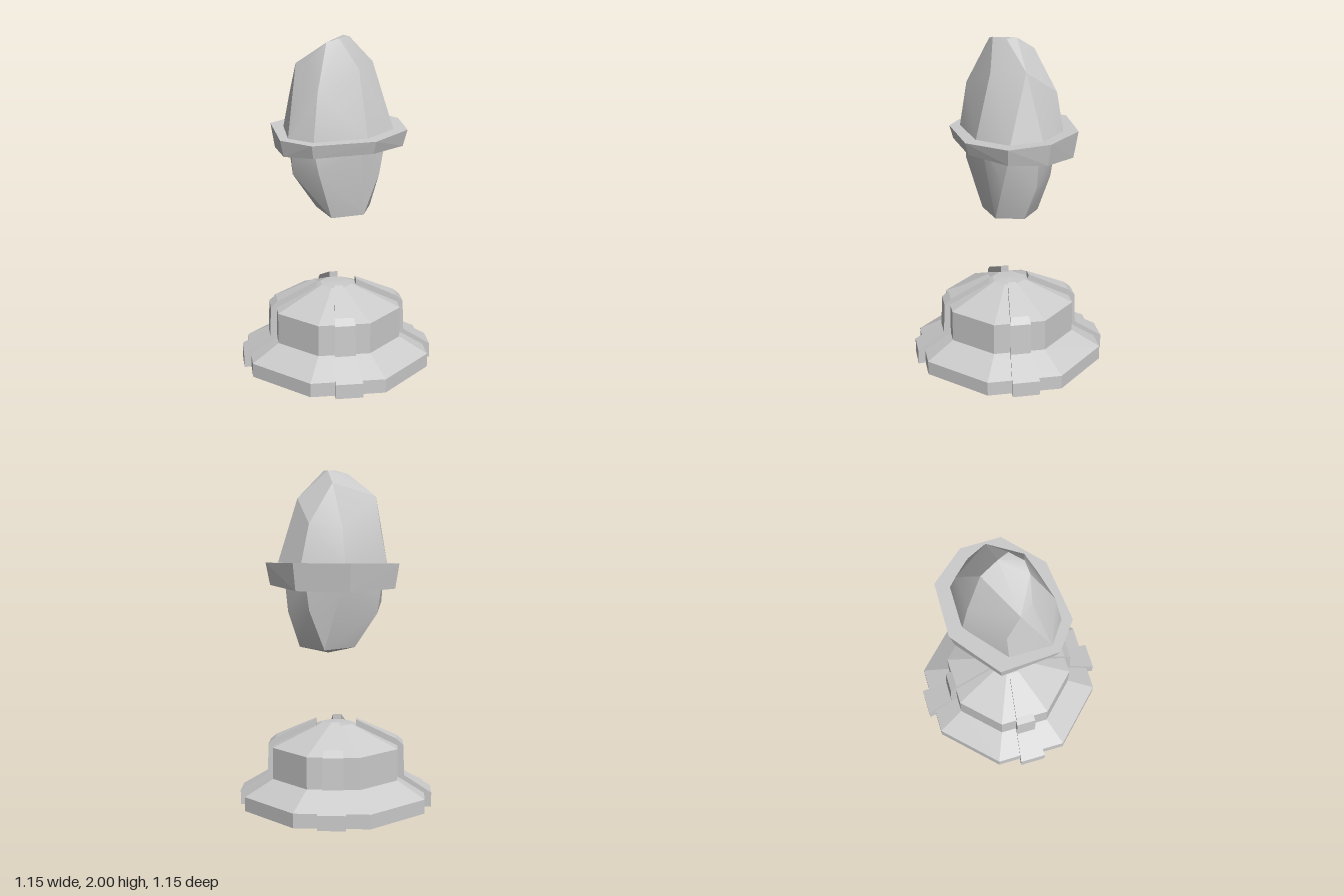
import * as THREE from 'three';
import { ConvexGeometry } from 'three/addons/geometries/ConvexGeometry.js';
import { toCreasedNormals } from 'three/addons/utils/BufferGeometryUtils.js';

const flat = new THREE.MeshStandardMaterial({ color: 0xcccccc, flatShading: true });
const smooth = new THREE.MeshStandardMaterial({ color: 0xcccccc });

function add(parent, name, geometry, material) {
  const mesh = new THREE.Mesh(geometry, material);
  mesh.name = name;
  parent.add(mesh);
  return mesh;
}

const hull = (points) => new ConvexGeometry(points.map((p) => new THREE.Vector3(...p)));

// Octagonal stepped plinth with four tapering ribs
function buildPedestal() {
  const group = new THREE.Group();
  group.name = 'pedestal';
  const profile = [[0, 0], [0.575, 0], [0.575, 0.085], [0.4, 0.18], [0.4, 0.37], [0.1, 0.495], [0, 0.5]];
  add(group, 'plinth', new THREE.LatheGeometry(profile.map((p) => new THREE.Vector2(...p)), 8), flat);

  const outline = [[0.12, 0], [0.575, 0], [0.575, 0.088], [0.412, 0.188], [0.405, 0.375], [0.365, 0.41], [0.12, 0.52]];
  const rib = new THREE.ExtrudeGeometry(
    new THREE.Shape(outline.map((p) => new THREE.Vector2(...p))), { depth: 1, bevelEnabled: false });
  rib.translate(0, 0, -0.5);
  // Ribs widen with distance from the centre
  const pos = rib.attributes.position;
  for (let i = 0; i < pos.count; i++) pos.setZ(i, pos.getZ(i) * (0.02 + 0.25 * pos.getX(i)));
  rib.computeVertexNormals();
  for (let k = 0; k < 4; k++) {
    add(group, 'rib', rib, flat).rotation.y = -Math.PI / 8 + k * Math.PI / 2;
  }
  return group;
}

// Floating faceted stone held by a tilted band
function buildStone() {
  const group = new THREE.Group();
  group.name = 'floatingStone';

  const waist = [[0.37, 0], [0.29, 0.18], [0.06, 0.26], [-0.25, 0.18],
    [-0.34, 0.04], [-0.25, -0.195], [0.05, -0.295], [0.29, -0.195]];
  const upper = [
    ...waist.map(([x, z]) => [x, 1.44, z]),
    [-0.21, 1.71, 0.155], [0.06, 1.825, 0.158], [0.23, 1.84, 0.03],
    [0.23, 1.7, -0.18], [0.05, 1.68, -0.242], [-0.21, 1.66, -0.18],
    [-0.215, 1.85, -0.09], [-0.2, 1.86, 0.0],
    [-0.1, 1.98, 0.065], [-0.03, 2, 0.085], [0.06, 2, 0.05], [0.06, 2, -0.02],
    [0.07, 1.93, -0.13],
  ];
  add(group, 'upperStone', toCreasedNormals(hull(upper), 0.35), smooth);

  const lower = [
    ...waist.map(([x, z]) => [x * 0.9 - 0.01, 1.4, z * 0.82]),
    [-0.29, 1.22, 0], [-0.21, 1.25, 0.165], [0.2, 1.2, 0.165],
    [0.3, 1.18, 0], [0.22, 1.2, -0.15], [0.04, 1.2, -0.185], [-0.2, 1.17, -0.16],
    [-0.1, 0.955, 0.12], [0.1, 0.955, 0.155], [0.22, 0.965, 0.03],
    [0.12, 0.96, -0.13], [-0.08, 0.965, -0.1], [0.04, 0.92, 0.03],
  ];
  add(group, 'lowerStone', toCreasedNormals(hull(lower), 0.35), smooth);

  // Band with top and bottom planes that spread apart toward the back
  const rim = [[0.435, 0], [0.35, 0.23], [0.07, 0.335], [-0.29, 0.23],
    [-0.395, 0.05], [-0.285, -0.285], [0.05, -0.38], [0.35, -0.25]];
  const band = rim.flatMap(([x, z]) => [
    [x, 1.459 + 0.03 * x - 0.06 * z, z],
    [x * 0.94, 1.342 + 0.07 * z, z * 0.93],
  ]);
  add(group, 'band', hull(band), flat);
  return group;
}

export function createModel() {
  const model = new THREE.Group();
  model.name = 'stoneOnPedestal';
  model.add(buildPedestal(), buildStone());
  return model;
}
